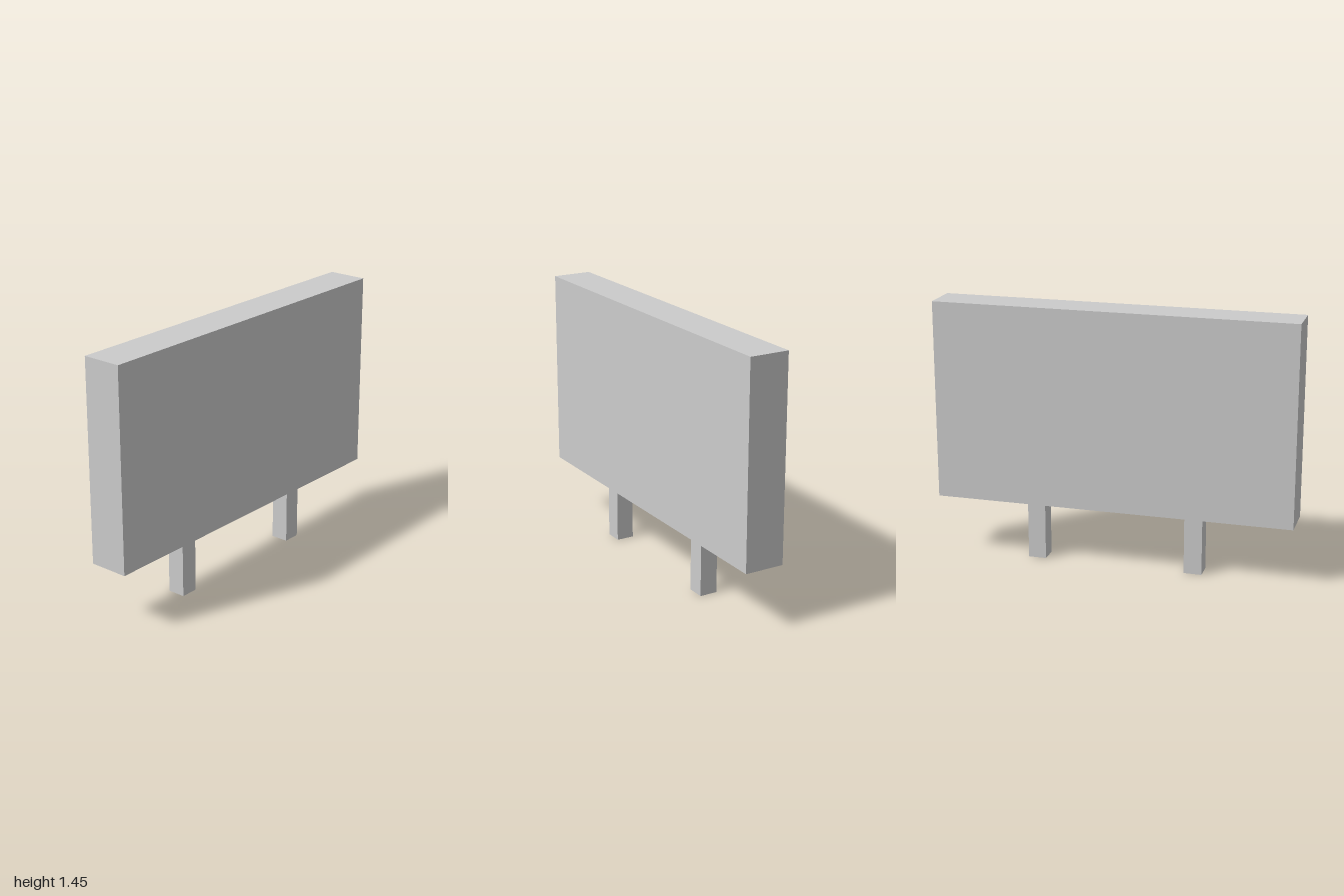
import * as THREE from 'three';

export function createModel() {
  const group = new THREE.Group();
  const material = new THREE.MeshStandardMaterial({ color: 0xcccccc, flatShading: true });

  const baseY = 0.335; // underside of the panel
  const topY = 1.445;

  // Adds a box standing on the given height
  function addBox(name, width, height, depth, x, bottom) {
    const mesh = new THREE.Mesh(new THREE.BoxGeometry(width, height, depth), material);
    mesh.name = name;
    mesh.position.set(x, bottom + height / 2, 0);
    group.add(mesh);
  }

  // Wide sign panel
  addBox('panel', 2, topY - baseY, 0.22, 0, baseY);

  // Two square posts
  addBox('leftPost', 0.1, baseY, 0.1, 0.445, 0);
  addBox('rightPost', 0.1, baseY, 0.1, -0.447, 0);

  return group;
}
